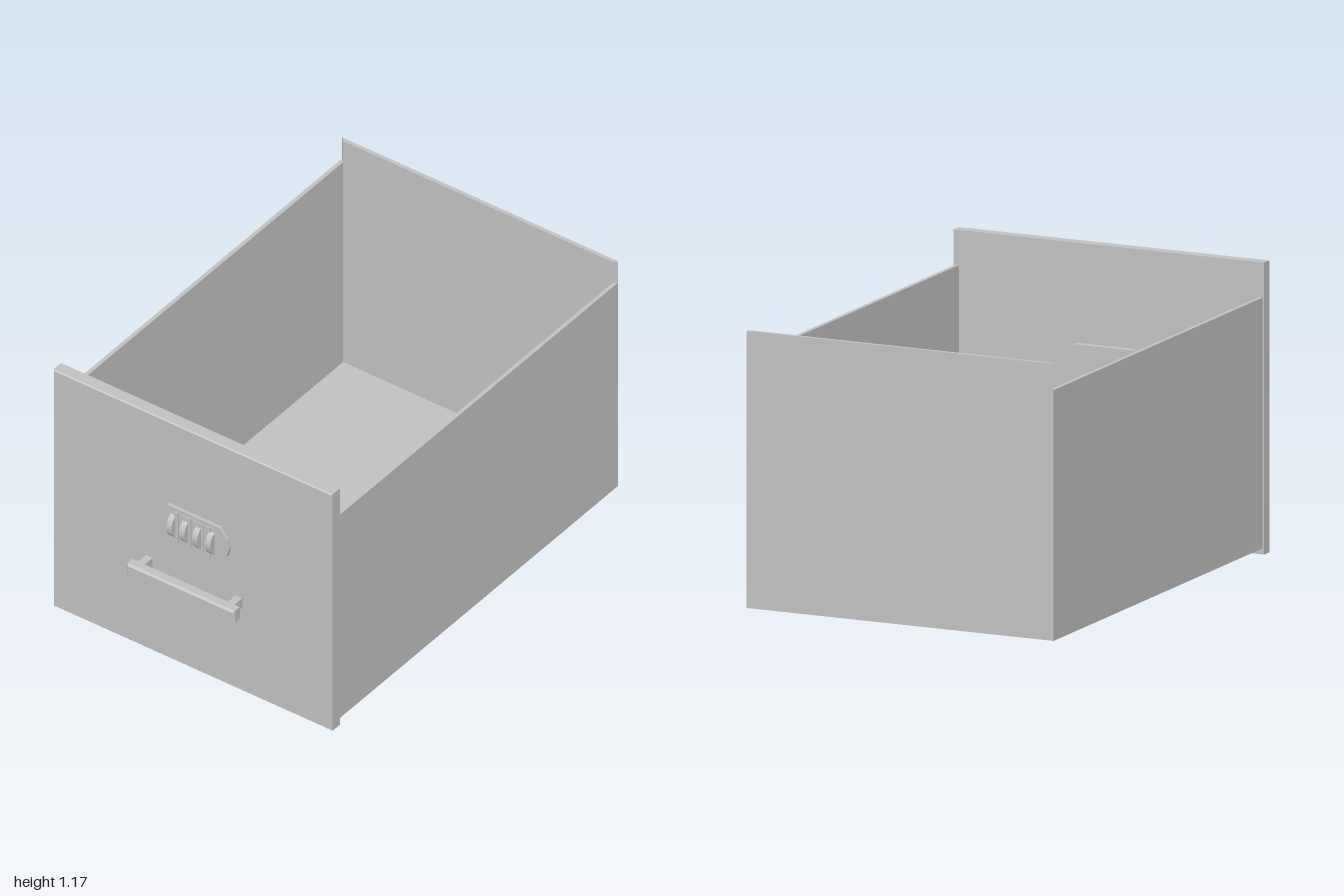
import * as THREE from 'three';

export function createModel() {
  const model = new THREE.Group();
  const metal = new THREE.MeshStandardMaterial({ color: 0xc0c0c0 });
  metal.name = 'light grey';

  function add(name, geometry, x = 0, y = 0, z = 0, parent = model) {
    const mesh = new THREE.Mesh(geometry, metal);
    mesh.name = name;
    mesh.position.set(x, y, z);
    parent.add(mesh);
    return mesh;
  }

  // Box given by its limits
  function slab(name, x0, x1, y0, y1, z0, z1, parent) {
    const g = new THREE.BoxGeometry(x1 - x0, y1 - y0, z1 - z0);
    return add(name, g, (x0 + x1) / 2, (y0 + y1) / 2, (z0 + z1) / 2, parent);
  }

  // Box whose front edges are chamfered by b
  function chamferedSlab(name, x0, x1, y0, y1, z0, z1, b, parent) {
    const d = z1 - z0;
    let g = new THREE.BoxGeometry(x1 - x0, y1 - y0, d, 1, 1, 2);
    const p = g.attributes.position;
    for (let i = 0; i < p.count; i++) {
      if (Math.abs(p.getZ(i)) < 1e-6) p.setZ(i, d / 2 - b);
      else if (p.getZ(i) > 0) {
        p.setX(i, p.getX(i) - Math.sign(p.getX(i)) * b);
        p.setY(i, p.getY(i) - Math.sign(p.getY(i)) * b);
      }
    }
    g = g.toNonIndexed();
    g.computeVertexNormals();
    return add(name, g, (x0 + x1) / 2, (y0 + y1) / 2, (z0 + z1) / 2, parent);
  }

  // Upright prism over a plan outline of [x, z] points
  function planPrism(name, points, y0, y1) {
    const shape = new THREE.Shape(points.map(([x, z]) => new THREE.Vector2(x, -z)));
    const g = new THREE.ExtrudeGeometry(shape, { depth: y1 - y0, bevelEnabled: false });
    g.rotateX(-Math.PI / 2);
    return add(name, g, 0, y0, 0);
  }

  // Drawer box: mitred side and back walls, floor
  const W = 0.67, T = 0.017, bottom = 0.024, frontZ = 0.85;
  for (const s of [-1, 1]) {
    planPrism(s > 0 ? 'leftWall' : 'rightWall',
      [[s * W, -1], [s * W, frontZ], [s * (W - T), frontZ], [s * (W - T), -1 + T]], bottom, 1.03);
  }
  planPrism('backWall', [[-W, -1], [W, -1], [W - T, -1 + T], [-W + T, -1 + T]], bottom, 1.135);
  slab('floor', -W + T, W - T, bottom, bottom + T, -1 + T, frontZ);

  // Front panel
  chamferedSlab('frontPanel', -0.677, 0.677, 0, 1.17, frontZ, 0.903, 0.005);

  // Handle: bar on two posts
  const handle = new THREE.Group();
  handle.name = 'handle';
  model.add(handle);
  chamferedSlab('handleBar', -0.25, 0.272, 0.408, 0.465, 0.96, 1, 0.008, handle);
  for (const x of [-0.209, 0.226])
    slab('handlePost', x - 0.016, x + 0.016, 0.413, 0.46, 0.9, 0.962, handle);

  // Combination lock: plate through the front panel, raised cells, number wheels
  const lock = new THREE.Group();
  lock.name = 'combinationLock';
  model.add(lock);
  const cx = 0.012, cy = 0.684;
  const half = [[0.128, -0.085], [0.164, -0.041], [0.176, 0], [0.164, 0.041], [0.128, 0.085]];
  const outline = [...half, ...half.map(([x, y]) => [-x, -y])];
  const plate = new THREE.Shape(outline.map(([x, y]) => new THREE.Vector2(x, y)));
  add('lockPlate', new THREE.ExtrudeGeometry(plate, { depth: 0.097, bevelEnabled: false }), cx, cy, 0.82, lock);

  for (const [x0, x1] of [[-0.075, -0.056], [-0.045, 0.005], [0.017, 0.067], [0.079, 0.1]])
    slab('wheelCell', x0, x1, 0.611, 0.752, 0.912, 0.922, lock);

  const wheel = new THREE.CylinderGeometry(0.0635, 0.0635, 0.025, 32);
  wheel.rotateZ(Math.PI / 2);
  for (let i = 0; i < 4; i++) add('numberWheel', wheel, -0.083 + i * 0.0627, 0.68, 0.884, lock);

  return model;
}
